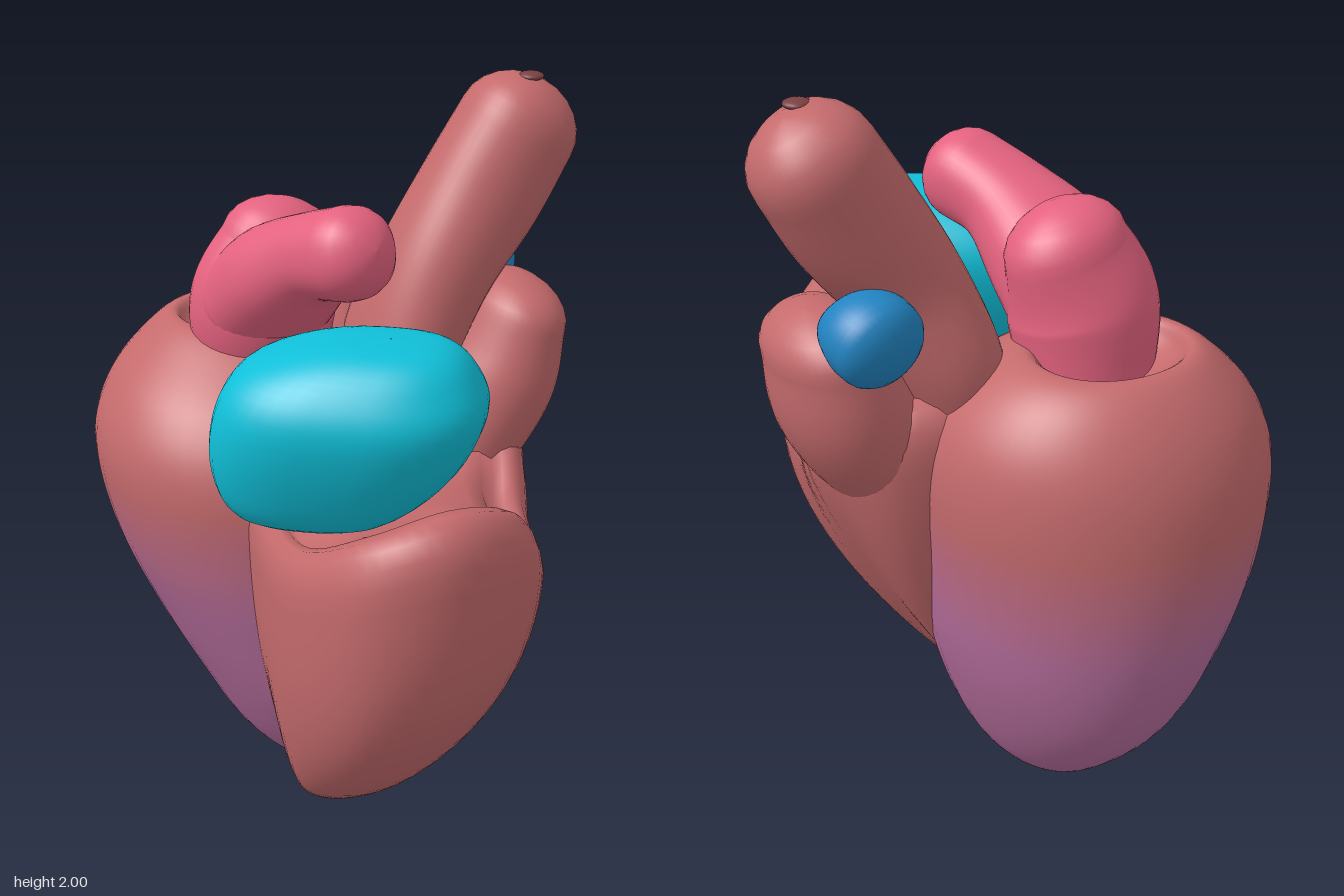
import * as THREE from 'three';

const V = (x, y, z) => new THREE.Vector3(x, y, z);
const UP = V(0, 1, 0);
const MUSCLE = 0xc46a6c, PURPLE = 0xb56d9c;
const mat = (color) => new THREE.MeshStandardMaterial({ color, side: THREE.DoubleSide });

// closed skin over rows of points (each row a loop)
function skin(rows) {
  const n = rows[0].length, pos = [], idx = [];
  rows.forEach((row) => row.forEach((p) => pos.push(p.x, p.y, p.z)));
  for (let i = 0; i < rows.length - 1; i++) {
    for (let j = 0; j < n; j++) {
      const a = i * n + j, b = i * n + (j + 1) % n;
      idx.push(a, b, a + n, b, b + n, a + n);
    }
  }
  const g = new THREE.BufferGeometry();
  g.setAttribute('position', new THREE.Float32BufferAttribute(pos, 3));
  g.setIndex(idx);
  g.computeVertexNormals();
  return g;
}

// smooth loft through rings [x, y, z, ra, rb]; rb lies along ref.
// dir fixes the ring plane, otherwise rings follow the path; cap rounds the ends.
function loft(rings, { ref = V(0, 0, 1), dir = null, cap = 0, power = 2, steps = 28, sides = 40 } = {}) {
  const path = new THREE.CatmullRomCurve3(rings.map((r) => V(r[0], r[1], r[2])), false, 'catmullrom');
  const size = new THREE.CatmullRomCurve3(rings.map((r) => V(r[3], r[4], 0)), false, 'catmullrom');
  const rows = [];
  const addRing = (u, scale, shift) => {
    const t = dir || path.getTangent(u);
    const b = ref.clone().addScaledVector(t, -ref.dot(t)).normalize();
    const a = b.clone().cross(t);
    const c = path.getPoint(u).addScaledVector(t, shift), s = size.getPoint(u);
    const round = (v) => Math.sign(v) * Math.abs(v) ** (2 / power);
    const row = [];
    for (let j = 0; j < sides; j++) {
      const q = (j / sides) * Math.PI * 2;
      row.push(c.clone()
        .addScaledVector(a, round(Math.cos(q)) * Math.max(s.x, 0.001) * scale)
        .addScaledVector(b, round(Math.sin(q)) * Math.max(s.y, 0.001) * scale));
    }
    rows.push(row);
  };
  const arc = [1, 2, 3, 4, 5, 6].map((k) => (k / 6) * Math.PI / 2);
  if (cap) [...arc].reverse().forEach((q) => addRing(0, Math.cos(q) + 0.001, -cap * Math.sin(q)));
  for (let i = 0; i <= steps; i++) addRing(i / steps, 1, 0);
  if (cap) arc.forEach((q) => addRing(1, Math.cos(q) + 0.001, cap * Math.sin(q)));
  return skin(rows);
}

// front ventricle: rim points [x, z, height, fullness] drawn down to a blunt apex
function frontVentricleGeometry() {
  const rim = [
    [-0.09, 0.81, 1.2, 2.6], [0.14, 0.71, 1.13, 2.3], [0.29, 0.5, 0.95, 1.9],
    [0.35, 0.3, 0.96, 1.6], [0.42, 0.13, 1.04, 1.4], [0.47, -0.06, 1.14, 1.35],
    [0.35, -0.26, 1.22, 1.8], [0, -0.3, 1.22, 1.7], [-0.3, -0.1, 1.06, 1.7],
    [-0.38, 0.2, 1.0, 2.1], [-0.4, 0.5, 1.03, 2.6], [-0.3, 0.74, 1.14, 2.6],
  ];
  const plan = new THREE.CatmullRomCurve3(rim.map((r) => V(r[0], r[2], r[1])), true, 'catmullrom');
  const full = new THREE.CatmullRomCurve3(rim.map((r) => V(r[3], 0, 0)), true, 'catmullrom');
  const n = 72, rows = [], floor = V(-0.02, 1.03, 0.22);
  const addRow = (fn) => rows.push(Array.from({ length: n }, (_, j) =>
    fn(plan.getPoint(j / n), full.getPoint(j / n).x)));
  for (let i = 0; i <= 24; i++) {
    const u = (i / 24) ** 1.4;
    addRow((p, k) => {
      const f = 1 - (1 - u) ** k + 0.15 * Math.sqrt(u) * (1 - u) ** 2;
      return V(-0.18 + (p.x + 0.18) * f, p.y * u * 0.91, p.z * f);
    });
  }
  // rounded lip, then the hollow floor: [inward mix, share of rim height]
  for (const [m, h] of [[0.02, 0.95], [0.06, 0.985], [0.12, 1], [0.19, 0.995], [0.26, 0.97]]) {
    addRow((p) => V(p.x + (floor.x - p.x) * m, p.y * h, p.z + (floor.z - p.z) * m));
  }
  for (const [m, d] of [[0.35, 0.5], [0.48, 0.85], [0.7, 0.97], [0.999, 1]]) {
    addRow((p) => V(p.x + (floor.x - p.x) * m, p.y + (floor.y - p.y) * d, p.z + (floor.z - p.z) * m));
  }
  return skin(rows);
}

export function createModel() {
  const heart = new THREE.Group();
  heart.name = 'heart';
  const add = (name, geometry, material) => {
    const m = new THREE.Mesh(geometry, material);
    m.name = name;
    heart.add(m);
  };

  add('frontVentricle', frontVentricleGeometry(), mat(MUSCLE));

  // rear ventricle, dented on top, its colour blending upwards in bands
  const steps = 72, sides = 48;
  const rear = loft([
    [-0.1, 0.02, -0.22, 0, 0], [-0.1, 0.05, -0.23, 0.11, 0.18], [-0.11, 0.15, -0.26, 0.2, 0.29],
    [-0.12, 0.32, -0.29, 0.285, 0.4], [-0.14, 0.52, -0.315, 0.365, 0.45], [-0.17, 0.76, -0.33, 0.43, 0.47],
    [-0.18, 1.0, -0.335, 0.46, 0.46], [-0.17, 1.16, -0.355, 0.42, 0.4], [-0.16, 1.28, -0.39, 0.32, 0.29],
    [-0.17, 1.335, -0.41, 0.22, 0.19], [-0.18, 1.28, -0.4, 0.16, 0.13], [-0.18, 1.2, -0.38, 0, 0],
  ], { dir: UP, steps, sides, power: 2.1 });
  const bands = 9, first = 29, per = sides * 6;
  const tones = [];
  for (let k = 0; k <= bands; k++) {
    const from = k === 0 ? 0 : first + k - 1, to = k === bands ? steps : first + k;
    rear.addGroup(from * per, (to - from) * per, k);
    tones.push(mat(new THREE.Color(PURPLE).lerp(new THREE.Color(MUSCLE), k / bands)));
  }
  add('rearVentricle', rear, tones);

  // outflow lobe rising from the left of the front ventricle
  add('outflowLobe', loft([
    [0.1, 0.75, 0, 0.1, 0.14], [0.26, 0.97, -0.04, 0.15, 0.18],
    [0.395, 1.18, -0.06, 0.165, 0.215], [0.455, 1.36, -0.06, 0.135, 0.2],
  ], { cap: 0.11, power: 2.1 }), mat(MUSCLE));

  // great artery with a small pit at its tip
  add('artery', loft([
    [0.12, 1.16, -0.13, 0.12, 0.18], [0.16, 1.3, -0.13, 0.14, 0.2], [0.25, 1.5, -0.11, 0.15, 0.175],
    [0.38, 1.69, -0.11, 0.165, 0.16], [0.48, 1.85, -0.11, 0.16, 0.155],
  ], { cap: 0.14, power: 2.2 }), mat(MUSCLE));
  const pit = new THREE.SphereGeometry(0.035, 16, 10);
  pit.scale(1, 0.35, 1).translate(0.5, 1.988, -0.08);
  add('arteryPit', pit, mat(0x7a4042));

  // pink vessel: trunk with a forward arm
  const pink = mat(0xe4627f), X = V(1, 0, 0);
  add('pinkTrunk', loft([
    [-0.18, 1.22, -0.31, 0.16, 0.18], [-0.18, 1.4, -0.28, 0.18, 0.2], [-0.13, 1.56, -0.27, 0.14, 0.165],
  ], { ref: X, cap: 0.12 }), pink);
  add('pinkArm', loft([
    [-0.18, 1.42, -0.25, 0.15, 0.19], [-0.16, 1.52, -0.13, 0.14, 0.17],
    [-0.13, 1.6, 0.0, 0.115, 0.13], [-0.09, 1.64, 0.12, 0.12, 0.12],
  ], { ref: X, cap: 0.11, power: 2.2 }), pink);

  // boxy teal chamber resting in the front hollow
  add('tealChamber', loft([
    [-0.26, 1.03, 0.3, 0, 0], [-0.26, 1.05, 0.3, 0.13, 0.19], [-0.22, 1.18, 0.33, 0.2, 0.3],
    [-0.18, 1.34, 0.36, 0.235, 0.33], [-0.16, 1.44, 0.37, 0.2, 0.28], [-0.12, 1.505, 0.4, 0.12, 0.16],
    [-0.1, 1.52, 0.41, 0, 0],
  ], { dir: UP, ref: V(0.84, 0, 0.54), power: 2.5 }), mat(0x10bfd8));

  // small blue chamber: wedge pointing forward
  add('blueChamber', loft([
    [0.43, 1.44, -0.1, 0.03, 0.04], [0.43, 1.45, -0.17, 0.07, 0.09],
    [0.43, 1.46, -0.25, 0.11, 0.12], [0.425, 1.45, -0.3, 0.115, 0.12],
  ], { ref: X, cap: 0.07 }), mat(0x2283c0));

  return heart;
}
